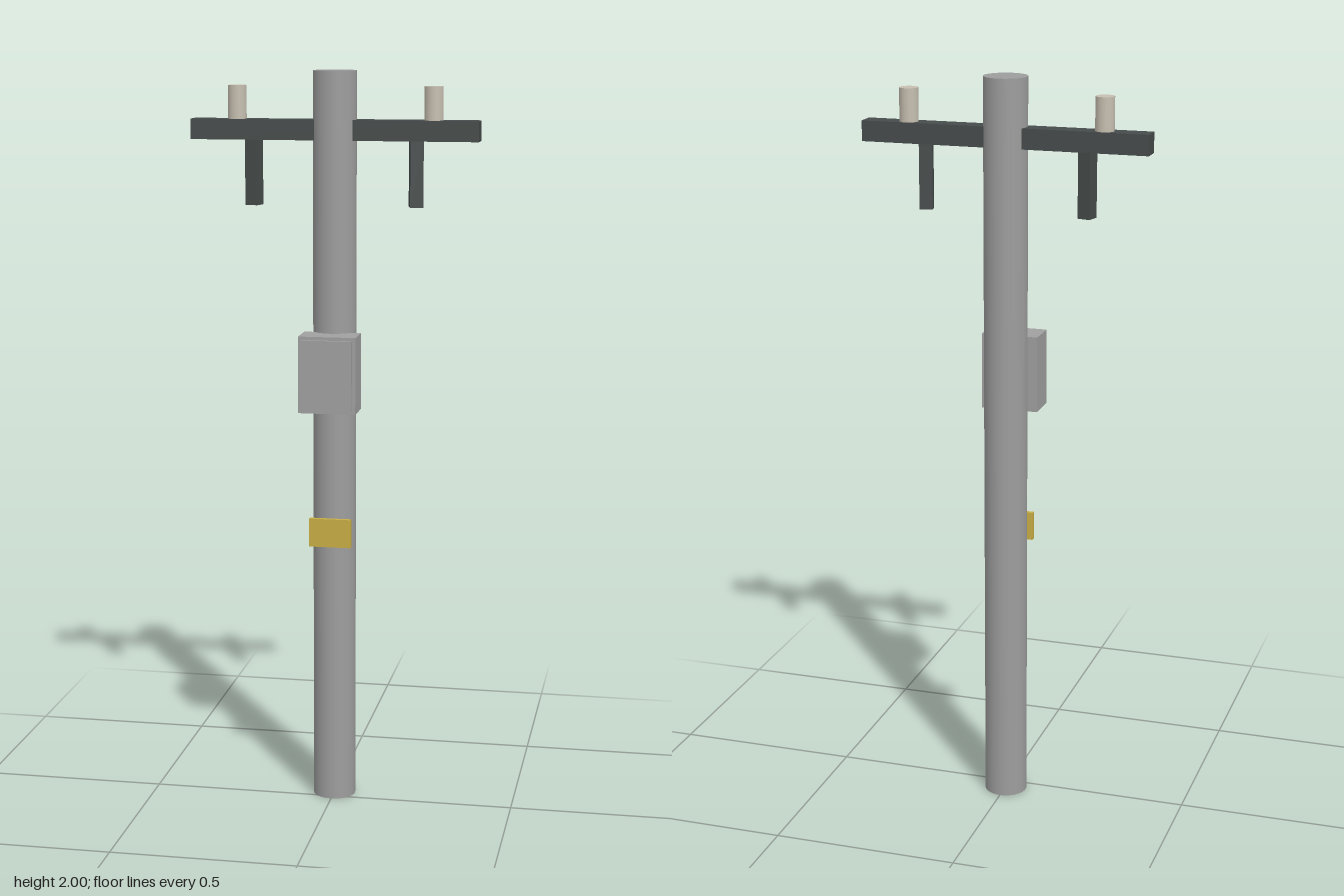
import * as THREE from 'three';

const mat = (name, color) => {
  const m = new THREE.MeshStandardMaterial({ color });
  m.name = name;
  return m;
};

export function createModel() {
  const model = new THREE.Group();
  model.name = 'utilityPole';

  const concrete = mat('concrete grey', 0x9d9d9d);
  const boxGrey = mat('cabinet grey', 0xa0a0a0);
  const darkSteel = mat('dark steel', 0x464c4b);
  const ceramic = mat('cream ceramic', 0xc6beb0);
  const yellow = mat('sign yellow', 0xc9ae45);

  const poleZ = -0.037;

  const add = (name, geometry, material, x, y, z) => {
    const mesh = new THREE.Mesh(geometry, material);
    mesh.name = name;
    mesh.position.set(x, y, z);
    model.add(mesh);
    return mesh;
  };

  // Round pole
  add('pole', new THREE.CylinderGeometry(0.058, 0.058, 2, 32), concrete, 0, 1, poleZ);

  // Crossarm through the pole
  add('crossarm', new THREE.BoxGeometry(0.77, 0.054, 0.053), darkSteel, 0, 1.845, poleZ);

  // Insulators above the arm, turned square braces below it
  for (const [side, s] of [['left', 1], ['right', -1]]) {
    add(side + 'Insulator', new THREE.CylinderGeometry(0.025, 0.025, 0.1, 16), ceramic, s * 0.263, 1.91, poleZ);
    const brace = add(side + 'Brace', new THREE.BoxGeometry(0.035, 0.18, 0.037), darkSteel, s * 0.218, 1.735, poleZ + 0.003);
    brace.rotation.y = s * 0.25;
  }

  // Equipment cabinet with a raised door
  add('cabinet', new THREE.BoxGeometry(0.154, 0.206, 0.089), boxGrey, 0, 1.207, 0.039);
  add('cabinetDoor', new THREE.BoxGeometry(0.135, 0.188, 0.009), boxGrey, 0, 1.207, 0.088);

  // Flat sign plate
  add('signPlate', new THREE.BoxGeometry(0.114, 0.078, 0.012), yellow, 0, 0.766, 0.031);

  return model;
}
